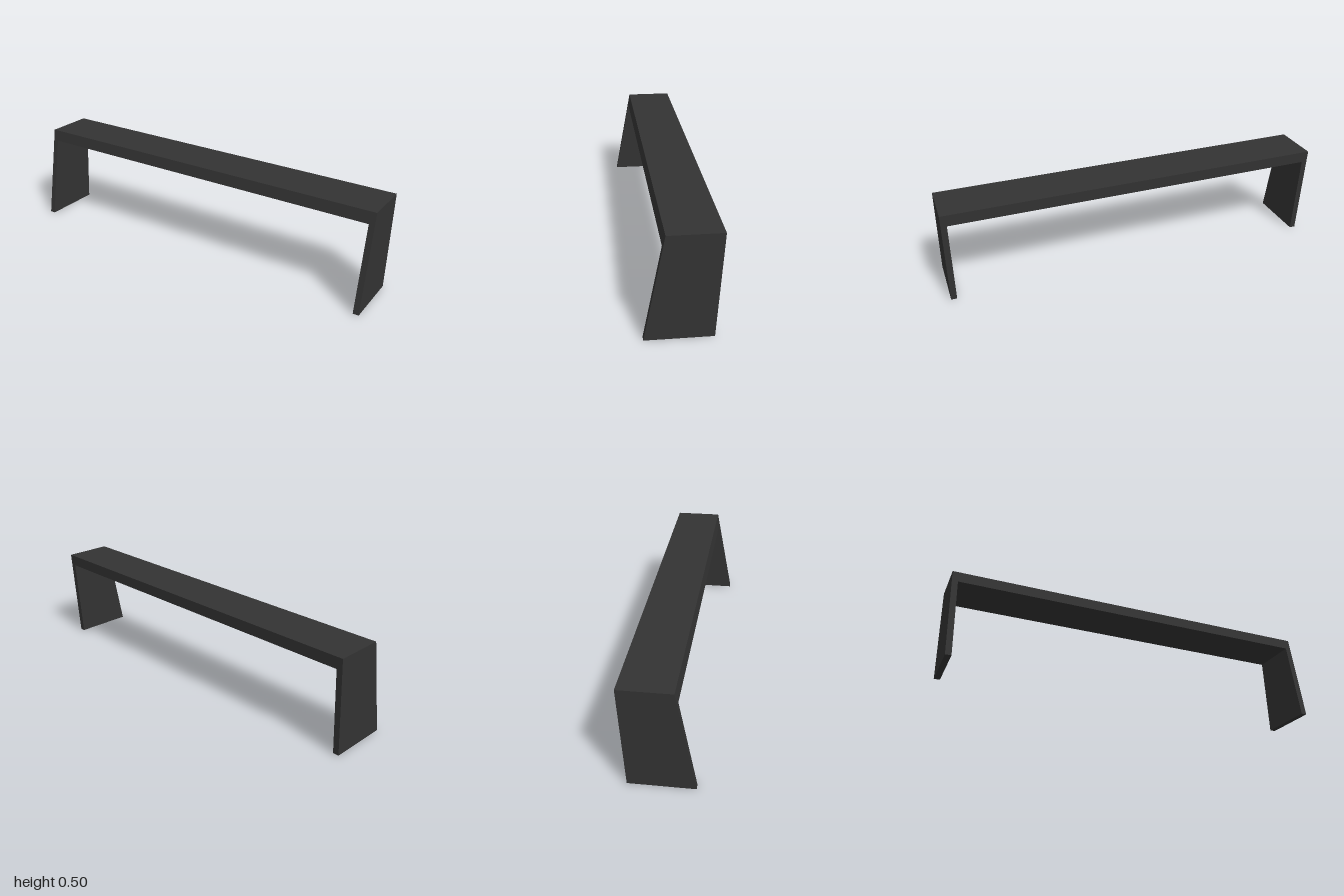
import * as THREE from 'three';

const HEIGHT = 0.5;
const BEAM_BOTTOM = 0.44;
const LEG_THICKNESS = 0.03;

// Sloping front and back edges, as z at height y
const frontZ = (y) => THREE.MathUtils.lerp(0.172, 0.078, y / HEIGHT);
const backZ = (y) => THREE.MathUtils.lerp(-0.14, -0.172, y / HEIGHT);

// Slab with the tapered side profile between two heights, running from x0 to x1
function slab(name, y0, y1, x0, x1, material) {
  const profile = new THREE.Shape([
    new THREE.Vector2(-frontZ(y0), y0),
    new THREE.Vector2(-backZ(y0), y0),
    new THREE.Vector2(-backZ(y1), y1),
    new THREE.Vector2(-frontZ(y1), y1),
  ]);
  const geometry = new THREE.ExtrudeGeometry(profile, { depth: x1 - x0, bevelEnabled: false });
  geometry.rotateY(Math.PI / 2);
  geometry.translate(x0, 0, 0);
  const mesh = new THREE.Mesh(geometry, material);
  mesh.name = name;
  return mesh;
}

export function createModel() {
  const model = new THREE.Group();
  model.name = 'bench';

  const charcoal = new THREE.MeshStandardMaterial({ color: 0x333333 });
  charcoal.name = 'charcoal';

  // Side panels reach the full height; the top spans between them
  const inner = 1 - LEG_THICKNESS;
  model.add(
    slab('leftLeg', 0, HEIGHT, inner, 1, charcoal),
    slab('rightLeg', 0, HEIGHT, -1, -inner, charcoal),
    slab('benchTop', BEAM_BOTTOM, HEIGHT, -inner, inner, charcoal),
  );
  return model;
}
